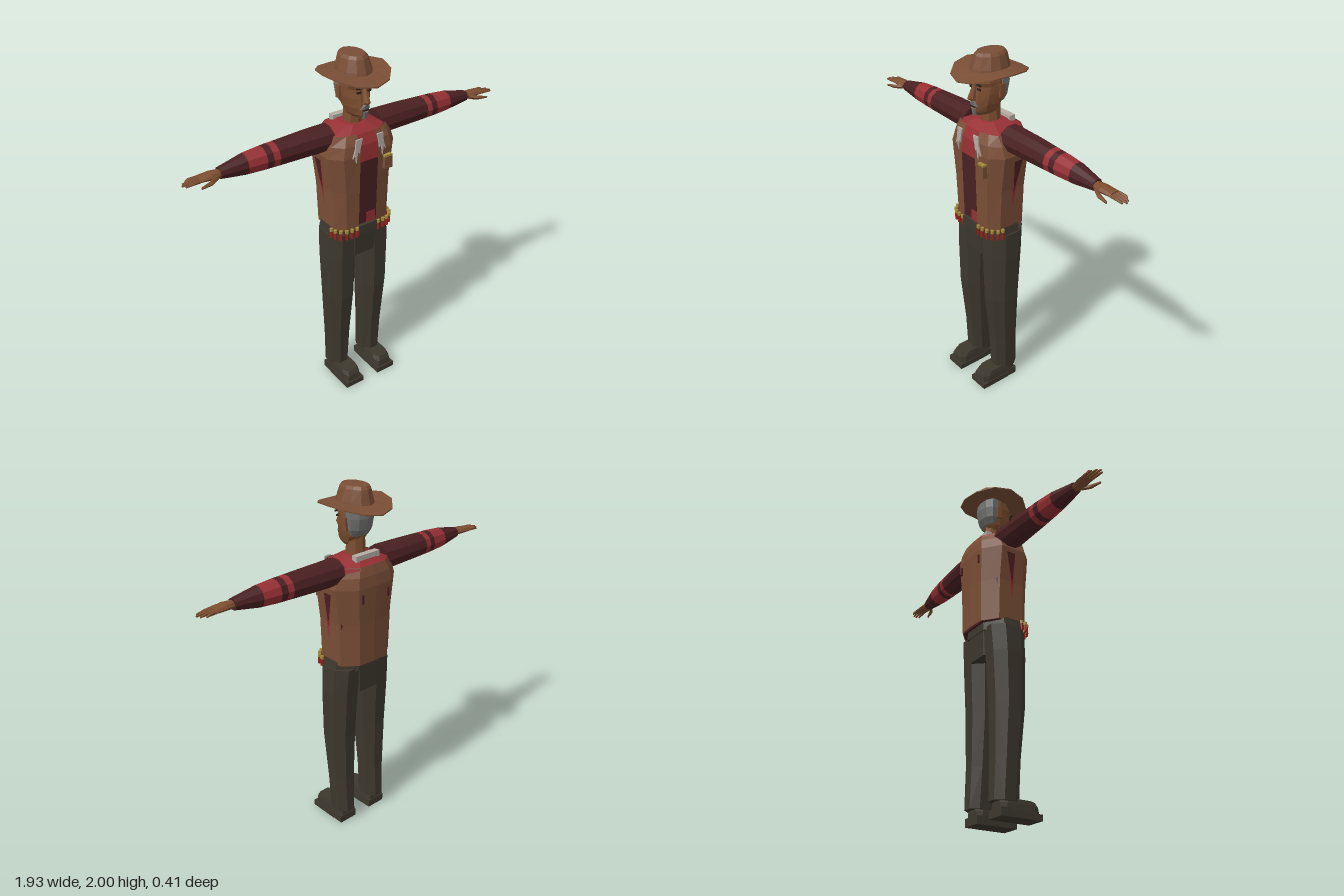
import * as THREE from 'three';

const mat = (name, color, side = THREE.FrontSide) =>
  Object.assign(new THREE.MeshStandardMaterial({ color, flatShading: true, side }), { name });

// Rings run front -> +x -> back -> -x, listed from bottom to top
function loft(rings, closed = true) {
  const pos = [], n = rings[0].length;
  const tri = (...pts) => pts.forEach(p => pos.push(...p));
  for (let i = 0; i < rings.length - 1; i++)
    for (let j = 0; j < (closed ? n : n - 1); j++) {
      const k = (j + 1) % n, a = rings[i][j], b = rings[i][k], c = rings[i + 1][k], d = rings[i + 1][j];
      tri(a, b, c); tri(a, c, d);
    }
  if (closed) {
    const lo = rings[0], hi = rings[rings.length - 1];
    for (let j = 1; j < n - 1; j++) { tri(lo[0], lo[j + 1], lo[j]); tri(hi[0], hi[j], hi[j + 1]); }
  }
  const g = new THREE.BufferGeometry();
  g.setAttribute('position', new THREE.Float32BufferAttribute(pos, 3));
  g.computeVertexNormals();
  return g;
}

const oval = (y, rx, rz, n, cx = 0, cz = 0, bend = () => 0) => Array.from({ length: n }, (_, i) => {
  const a = i / n * Math.PI * 2;
  return [cx + rx * Math.sin(a), y + bend(a), cz + rz * Math.cos(a)];
});

// Rectangle with cut corners
function cutBox(y, x0, x1, zf, zb, c = 0.28) {
  const dx = (x1 - x0) * c, dz = (zf - zb) * c;
  return [[x0 + dx, y, zf], [x1 - dx, y, zf], [x1, y, zf - dz], [x1, y, zb + dz],
    [x1 - dx, y, zb], [x0 + dx, y, zb], [x0, y, zb + dz], [x0, y, zf - dz]];
}

// Half outline continued on the other side
const symmetric = half => [...half, ...half.filter(p => p[0] > 0).reverse().map(([x, y, z]) => [-x, y, z])];

const block = (x0, x1, y0, y1, z0, z1) => new THREE.BoxGeometry(x1 - x0, y1 - y0, z1 - z0)
  .translate((x0 + x1) / 2, (y0 + y1) / 2, (z0 + z1) / 2);

function mirrored(geo) {
  const g = geo.index ? geo.toNonIndexed() : geo.clone(), p = g.attributes.position;
  for (let i = 0; i < p.count; i += 3) {
    const t = [0, 2, 1].map(k => [-p.getX(i + k), p.getY(i + k), p.getZ(i + k)]);
    t.forEach((v, k) => p.setXYZ(i + k, ...v));
  }
  g.computeVertexNormals();
  return g;
}

export function createModel() {
  const model = new THREE.Group();
  const leather = mat('brown leather', 0x7a4e36, THREE.DoubleSide), skin = mat('skin', 0x7d4e30);
  const red = mat('red cloth', 0x963034, THREE.DoubleSide), maroon = mat('maroon cloth', 0x4a2022, THREE.DoubleSide);
  const trouser = mat('dark trousers', 0x3d382e), grey = mat('grey hair', 0x6f706e);
  const white = mat('off white cloth', 0xb5aea4), gold = mat('brass', 0xa48a3a);
  const shellRed = mat('shell red', 0x95241a), dark = mat('dark detail', 0x2b211c);
  const add = (name, geo, m) => {
    const mesh = new THREE.Mesh(geo, m);
    mesh.name = name;
    model.add(mesh);
  };
  const pair = (name, geo, m) => {
    add('left' + name, geo, m);
    add('right' + name, mirrored(geo), m);
  };

  // Legs and shoes
  pair('Leg', loft([[0.08, 0.055, 0.172, 0.06, -0.09], [0.3, 0.047, 0.18, 0.07, -0.082], [0.6, 0.032, 0.195, 0.1, -0.085],
    [0.88, 0.022, 0.2, 0.106, -0.1], [1.03, 0.01, 0.195, 0.105, -0.11]].map(r => cutBox(...r))), trouser);
  pair('Sole', block(0.053, 0.172, 0, 0.033, 0, 0.18), trouser);
  pair('Heel', block(0.055, 0.17, 0, 0.045, -0.065, 0), trouser);
  pair('Shoe', loft([cutBox(0.03, 0.056, 0.168, 0.172, -0.06, 0.12), cutBox(0.07, 0.06, 0.165, 0.168, -0.06, 0.15),
    cutBox(0.095, 0.065, 0.16, 0.155, -0.055, 0.2)]), trouser);

  // Hips, belt and shells
  add('hips', loft([cutBox(0.875, -0.075, 0.075, 0.105, -0.108, 0.08), cutBox(1.03, -0.08, 0.08, 0.118, -0.115, 0.08)]), trouser);
  add('belt', loft([cutBox(1.015, -0.188, 0.188, 0.122, -0.12), cutBox(1.075, -0.178, 0.178, 0.122, -0.12)]), trouser);
  add('buckle', block(-0.06, 0.06, 1.02, 1.08, 0.1, 0.14), trouser);
  for (const [x, z] of [[0.07, 0.135], [0.103, 0.134], [0.133, 0.128], [0.16, 0.112], [0.18, 0.088], [0.187, 0.06]]) {
    pair('Shell', new THREE.CylinderGeometry(0.009, 0.009, 0.04, 6).translate(x, 1.038, z), shellRed);
    pair('ShellCap', new THREE.CylinderGeometry(0.01, 0.01, 0.018, 6).translate(x, 1.067, z), gold);
  }

  // Torso levels: height, half width, front z, back z
  const levels = [[1.06, 0.176, 0.13, -0.15], [1.3, 0.185, 0.137, -0.155], [1.5, 0.21, 0.143, -0.164],
    [1.56, 0.19, 0.134, -0.157], [1.61, 0.155, 0.108, -0.14]];
  const vestRing = ([y, w, f, b]) => symmetric([[0.056, y, f], [w * 0.72, y, f - 0.012], [w, y, 0.07],
    [w, y, -0.08], [w * 0.55, y, b + 0.006], [0, y, b]]);
  add('vest', loft(levels.map(vestRing), false), leather);
  const shirtRing = (y, w, f, b) => cutBox(y, -w, w, f, b, 0.2);
  add('lowerShirt', loft([shirtRing(1.06, 0.165, 0.12, -0.135), shirtRing(1.46, 0.185, 0.133, -0.145)]), maroon);
  add('upperShirt', loft([shirtRing(1.46, 0.185, 0.133, -0.145), shirtRing(1.55, 0.18, 0.128, -0.142),
    shirtRing(1.605, 0.152, 0.104, -0.135), shirtRing(1.64, 0.065, 0.055, -0.085)]), red);
  add('shirtPatch', block(0, 0.055, 1.08, 1.14, 0.12, 0.127), red);

  // Armholes and back slits
  const panel = pts => new THREE.BufferGeometry().setFromPoints(pts.map(p => new THREE.Vector3(...p)));
  const armhole = (pts, m, name) => {
    const g = panel(pts);
    g.computeVertexNormals();
    pair(name, g, m);
  };
  armhole([[0.209, 1.46, 0.01], [0.209, 1.46, -0.045], [0.185, 1.19, 0.0]], red, 'ArmholeEdge');
  armhole([[0.211, 1.47, 0.006], [0.211, 1.47, -0.048], [0.193, 1.28, -0.004]], maroon, 'Armhole');
  pair('BackSlit', block(0.085, 0.095, 1.42, 1.47, -0.164, -0.156), maroon);

  // Neckerchief tatters, collar and chest pocket
  const rag = new THREE.Shape([[0.045, 1.6], [0.085, 1.6], [0.088, 1.55], [0.105, 1.5], [0.088, 1.52], [0.083, 1.47],
    [0.074, 1.53], [0.062, 1.52], [0.058, 1.55]].map(p => new THREE.Vector2(...p)));
  pair('Rag', new THREE.ExtrudeGeometry(rag, { depth: 0.008, bevelEnabled: false }).translate(0, 0, 0.138), white);
  add('backCollar', block(-0.08, 0.08, 1.625, 1.657, -0.1, -0.065), white);
  add('chestPocket', block(0.092, 0.14, 1.388, 1.455, 0.12, 0.157), leather);
  add('pocketTrim', block(0.092, 0.14, 1.455, 1.465, 0.125, 0.155), gold);

  // Sleeves: distance out, vertical radius, depth radius, centre y, centre z
  const stations = [[0.15, 0.072, 0.08, 1.577, -0.018], [0.3, 0.069, 0.075, 1.577, -0.018], [0.465, 0.064, 0.067, 1.576, -0.015],
    [0.5, 0.063, 0.065, 1.576, -0.015], [0.535, 0.062, 0.063, 1.576, -0.014], [0.635, 0.055, 0.055, 1.575, -0.012],
    [0.775, 0.03, 0.033, 1.573, -0.004]];
  const along = (list, n) => loft(list.map(([d, ry, rz, y, z]) => oval(d, ry, rz, n, -y, z))).rotateZ(-Math.PI / 2);
  for (const [from, to, m] of [[0, 2, maroon], [2, 3, red], [3, 4, maroon], [4, 5, red], [5, 6, maroon]])
    pair('Sleeve', along(stations.slice(from, to + 1), 10), m);

  // Hands
  pair('Palm', along([[0.765, 0.02, 0.025, 1.573, -0.002], [0.82, 0.02, 0.035, 1.575, -0.002], [0.885, 0.013, 0.035, 1.573, -0.006]], 8), skin);
  [[-0.034, 0.935], [-0.016, 0.957], [0.002, 0.967], [0.02, 0.955]].forEach(([z, tip]) =>
    pair('Finger', along([[0.87, 0.01, 0.009, 1.573, z * 0.85], [0.92, 0.008, 0.008, 1.571, z], [tip, 0.005, 0.005, 1.566, z]], 5), skin));
  pair('Thumb', along([[0.79, 0.013, 0.013, 1.568, 0.018], [0.835, 0.012, 0.012, 1.562, 0.045], [0.895, 0.006, 0.006, 1.556, 0.057]], 5), skin);

  // Neck and head
  add('neck', loft([oval(1.6, 0.052, 0.055, 8, 0, -0.005), oval(1.74, 0.047, 0.05, 8, 0, -0.005)]), skin);
  const headRing = ([y, f, w, b]) => symmetric([[w * 0.35, y, f], [w * 0.85, y, f - 0.045], [w, y, 0], [w * 0.9, y, b + 0.03], [w * 0.5, y, b]]);
  add('head', loft([[1.68, 0.09, 0.036, 0.02], [1.7, 0.104, 0.052, -0.03], [1.74, 0.106, 0.066, -0.055], [1.79, 0.1, 0.076, -0.07],
    [1.835, 0.092, 0.08, -0.083], [1.855, 0.102, 0.08, -0.083], [1.92, 0.088, 0.076, -0.08]].map(headRing)), skin);
  add('nose', loft([cutBox(1.765, -0.019, 0.019, 0.127, 0.08), cutBox(1.777, -0.017, 0.017, 0.138, 0.08),
    cutBox(1.85, -0.008, 0.008, 0.104, 0.08)]), skin);
  pair('Ear', block(0.074, 0.088, 1.775, 1.845, -0.028, 0.002), skin);
  pair('Eye', block(0.018, 0.042, 1.818, 1.828, 0.088, 0.096), dark);
  pair('Brow', block(0.014, 0.05, 1.843, 1.851, 0.092, 0.101), dark);
  add('hair', loft([oval(1.745, 0.06, 0.035, 10, 0, -0.032), oval(1.78, 0.077, 0.053, 10, 0, -0.036),
    oval(1.84, 0.085, 0.062, 10, 0, -0.038), oval(1.915, 0.083, 0.058, 10, 0, -0.036)]), grey);
  add('moustache', loft([cutBox(1.735, -0.03, 0.03, 0.113, 0.08), cutBox(1.76, -0.014, 0.014, 0.119, 0.08)]), grey);
  add('mouth', block(-0.016, 0.016, 1.727, 1.733, 0.1, 0.112), dark);
  add('goatee', loft([cutBox(1.682, -0.014, 0.014, 0.106, 0.07), cutBox(1.72, -0.02, 0.02, 0.114, 0.08)]), grey);

  // Hat: brim lifts at the sides and dips front and back
  const saddle = a => 0.018 - 0.04 * Math.cos(a) ** 2;
  const half = a => saddle(a) * 0.3;
  add('hatBrim', loft([oval(1.897, 0.08, 0.1, 12, 0, 0, half), oval(1.9, 0.184, 0.204, 12, 0, 0, saddle),
    oval(1.906, 0.184, 0.204, 12, 0, 0, saddle), oval(1.915, 0.09, 0.112, 12, 0, 0, half)]), leather);
  add('hatCrown', loft([oval(1.905, 0.092, 0.113, 12), oval(1.925, 0.088, 0.108, 12), oval(1.985, 0.069, 0.092, 12, 0, -0.004),
    oval(2, 0.056, 0.08, 12, 0, -0.004)]), leather);
  return model;
}
